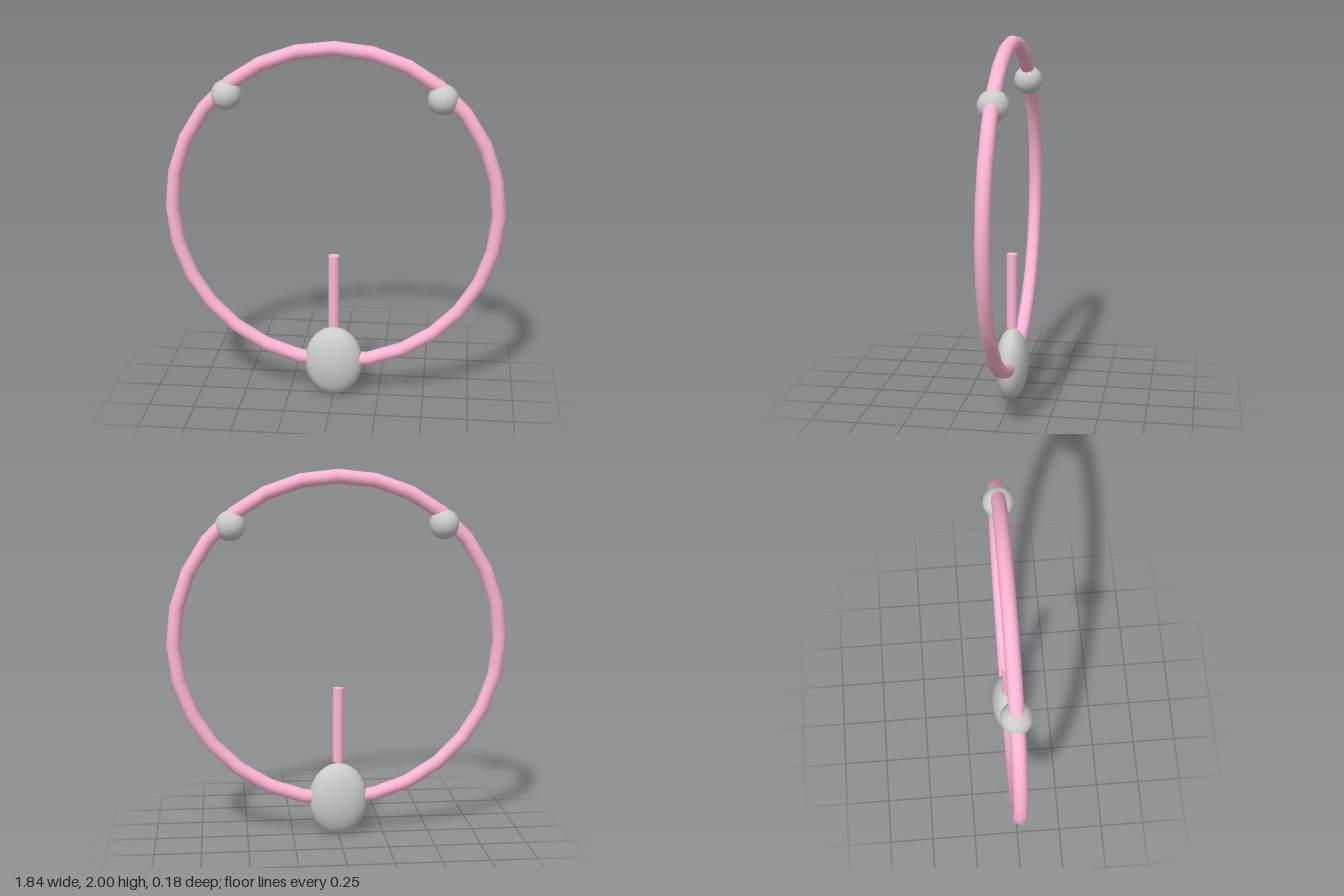
import * as THREE from 'three';

export function createModel() {
  const model = new THREE.Group();
  const grey = new THREE.MeshStandardMaterial({ color: 0xcccccc });
  const pink = new THREE.MeshStandardMaterial({ color: 0xffb6d5 });

  const add = (name, geometry, material, x, y) => {
    const mesh = new THREE.Mesh(geometry, material);
    mesh.name = name;
    mesh.position.set(x, y, 0);
    model.add(mesh);
    return mesh;
  };

  // Upright hoop with visible straight segments
  add('hoop', new THREE.TorusGeometry(0.88, 0.038, 12, 28), pink, 0, 1.082);

  // Flattened egg at the foot of the hoop
  const pendant = add('pendant', new THREE.SphereGeometry(1, 32, 24), grey, 0, 0.202);
  pendant.scale.set(0.16, 0.2, 0.088);

  // Short rod floating just above the pendant
  add('rod', new THREE.CylinderGeometry(0.03, 0.03, 0.412, 16), pink, 0, 0.619);

  // Pair of beads on the inner side of the hoop
  for (const side of [-1, 1]) {
    add(side > 0 ? 'leftBead' : 'rightBead', new THREE.SphereGeometry(0.08, 24, 16), grey, side * 0.568, 1.706);
  }
  return model;
}
